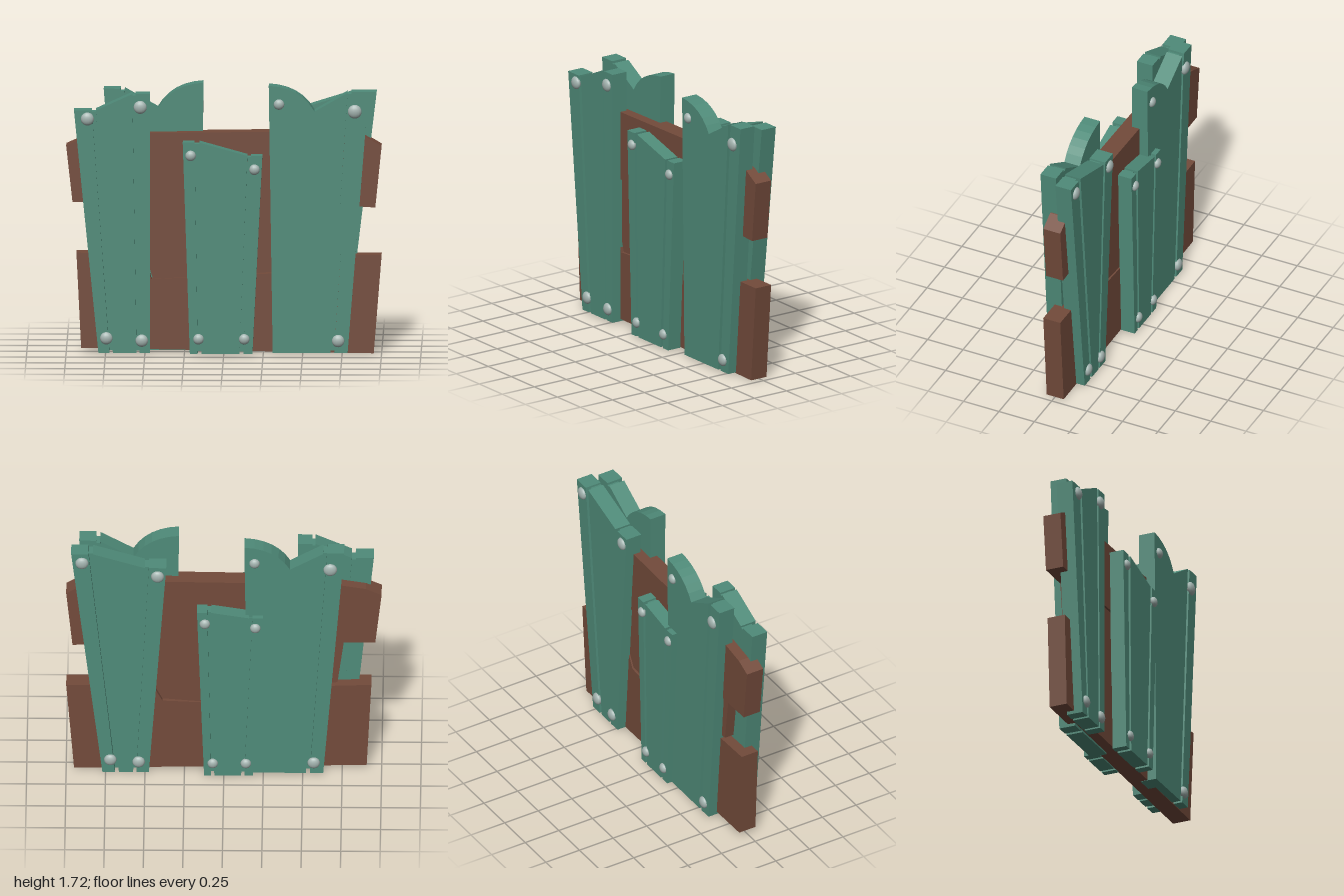
import * as THREE from 'three';

const green = new THREE.MeshStandardMaterial({ color: 0x4f8b79 });
green.name = 'paintedGreen';
const brown = new THREE.MeshStandardMaterial({ color: 0x734b3b });
brown.name = 'brownWood';
const metal = new THREE.MeshStandardMaterial({ color: 0xa3b3af });
metal.name = 'boltMetal';

// Flat board cut from an outline of [x, y] points, spanning z0 to z1
function board(parent, name, outline, z0, z1, material) {
  const shape = new THREE.Shape(outline.map(([x, y]) => new THREE.Vector2(x, y)));
  const geometry = new THREE.ExtrudeGeometry(shape, { depth: z1 - z0, bevelEnabled: false });
  geometry.translate(0, 0, z0);
  const mesh = new THREE.Mesh(geometry, material);
  mesh.name = name;
  parent.add(mesh);
}

// Low domed bolt heads on the outer face: [x, y, radius]
function bolts(parent, z, list) {
  for (const [x, y, r = 0.034] of list) {
    const bolt = new THREE.Mesh(new THREE.SphereGeometry(r, 14, 10), metal);
    bolt.name = 'bolt';
    bolt.scale.z = 0.024 / r;
    bolt.position.set(x, y, z);
    parent.add(bolt);
  }
}

const BASE = 0.012;

// Three tapering strips with recessed grooves; top and foot list the strip edges from left to right
function stripPanel(name, top, foot, yLeft, yRight, z0, z1, boltList) {
  const group = new THREE.Group();
  group.name = name;
  const ys = [yLeft, yLeft, yLeft, yRight, yRight, yRight];
  for (let i = 0; i < 5; i++) {
    const groove = i % 2 === 1;
    const drop = groove ? 0.012 : 0;
    board(group, groove ? 'groove' : 'strip', [
      [foot[i], BASE + drop], [foot[i + 1], BASE + drop],
      [top[i + 1], ys[i + 1] - drop], [top[i], ys[i] - drop],
    ], z0, groove ? z1 - 0.03 : z1, green);
  }
  bolts(group, z1, boltList);
  return group;
}

// Wide board with a scooped top and one edge strip
function scoopedPanel(name) {
  const group = new THREE.Group();
  group.name = name;
  const z0 = 0.01, z1 = 0.12;
  const scoop = new THREE.QuadraticBezierCurve(
    new THREE.Vector2(0.575, 1.56), new THREE.Vector2(0.485, 1.715), new THREE.Vector2(0.285, 1.725));
  const scoopPoints = scoop.getPoints(6).map((p) => [p.x, p.y]);
  board(group, 'scoopedBoard', [[0.31, BASE], [0.675, BASE], [0.785, 1.68], ...scoopPoints], z0, z1, green);
  board(group, 'groove', [[0.675, 0.024], [0.7, 0.024], [0.81, 1.67], [0.785, 1.67]], z0, z1 - 0.03, green);
  board(group, 'strip', [[0.7, BASE], [0.785, BASE], [0.918, 1.685], [0.81, 1.685]], z0, z1, green);
  bolts(group, z1, [[0.35, 1.605], [0.83, 1.56, 0.044], [0.725, 0.09, 0.04]]);
  return group;
}

export function createModel() {
  const model = new THREE.Group();
  model.name = 'plankBarricade';

  // Horizontal brown planks
  board(model, 'upperPlank', [
    [-0.96, 0.97], [-0.47, 0.96], [0.3, 0.98], [0.96, 0.937], [1, 1.33],
    [0.9, 1.39], [0.8, 1.428], [-0.7, 1.408], [-0.9, 1.375], [-1, 1.33],
  ], -0.06, 0.06, brown);
  board(model, 'middlePlank', [
    [-0.72, 0.66], [-0.5, 0.64], [-0.45, 0.475], [0.2, 0.513], [0.39, 0.53],
    [0.45, 0.645], [0.72, 0.645], [0.74, 0.955], [0.3, 0.98], [-0.47, 0.96], [-0.76, 0.965],
  ], -0.053, 0.045, brown);
  board(model, 'lowerPlank', [
    [-0.905, 0.035], [0.95, 0.003], [1, 0.632], [0.45, 0.63], [0.39, 0.517],
    [0.2, 0.508], [-0.46, 0.475], [-0.5, 0.63], [-0.935, 0.645],
  ], -0.06, 0.06, brown);

  // Front green panels
  model.add(stripPanel('frontRightPanel',
    [-0.95, -0.837, -0.81, -0.58, -0.56, -0.468], [-0.795, -0.725, -0.703, -0.553, -0.533, -0.468],
    1.565, 1.67, 0.01, 0.12,
    [[-0.865, 1.51, 0.042], [-0.53, 1.585, 0.042], [-0.745, 0.105, 0.04], [-0.52, 0.09, 0.04]]));
  model.add(stripPanel('frontCentrePanel',
    [-0.26, -0.185, -0.155, 0.15, 0.172, 0.245], [-0.215, -0.165, -0.14, 0.1, 0.125, 0.182],
    1.365, 1.28, 0.058, 0.155,
    [[-0.21, 1.28], [0.195, 1.192], [-0.16, 0.105], [0.13, 0.105]]));
  model.add(scoopedPanel('frontLeftPanel'));

  // Back green panels, built facing forward and turned round
  const backPanels = [
    stripPanel('backLeftPanel',
      [-0.968, -0.858, -0.83, -0.5, -0.475, -0.365], [-0.77, -0.69, -0.665, -0.575, -0.555, -0.475],
      1.668, 1.565, 0.01, 0.12,
      [[-0.9, 1.6, 0.042], [-0.42, 1.5, 0.042], [-0.72, 0.105, 0.04], [-0.54, 0.09, 0.04]]),
    stripPanel('backCentrePanel',
      [-0.17, -0.105, -0.08, 0.16, 0.182, 0.248], [-0.125, -0.08, -0.06, 0.11, 0.13, 0.185],
      1.25, 1.21, 0.058, 0.155,
      [[-0.12, 1.165], [0.2, 1.135], [-0.07, 0.105], [0.14, 0.105]]),
    scoopedPanel('backRightPanel'),
  ];
  backPanels[2].position.x = 0.155;
  for (const panel of backPanels) {
    panel.rotation.y = Math.PI;
    model.add(panel);
  }
  return model;
}
